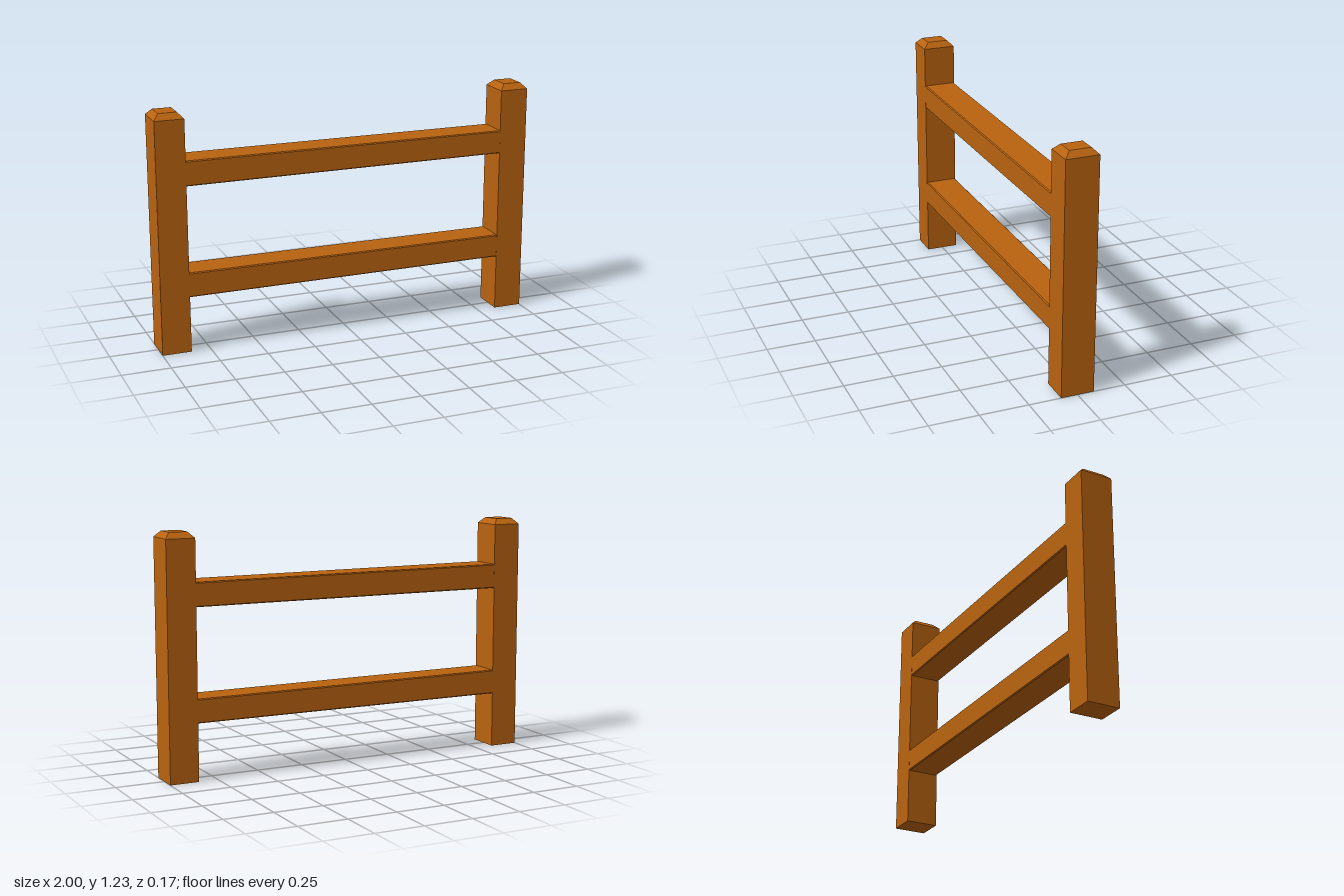
import * as THREE from 'three';

const wood = new THREE.MeshStandardMaterial({ color: 0xb9630f, flatShading: true });

// Square post whose top row of vertices is drawn in to form a chamfered cap
function makePost(x, name) {
  const geo = new THREE.BoxGeometry(0.15, 1.23, 0.17, 1, 2, 1).translate(0, 0.615, 0);
  const p = geo.attributes.position;
  for (let i = 0; i < p.count; i++) {
    const y = p.getY(i);
    if (y > 1) {
      p.setX(i, p.getX(i) - Math.sign(p.getX(i)) * 0.028);
      p.setZ(i, p.getZ(i) - Math.sign(p.getZ(i)) * 0.03);
    } else if (y > 0.5) p.setY(i, 1.2);
  }
  const post = new THREE.Mesh(geo, wood);
  post.name = name;
  post.position.x = x;
  return post;
}

// Rail with slightly eased edges, narrowing a touch towards +x
function makeRail(y, name) {
  const w = 0.0845, h = 0.064, c = 0.005, length = 1.72;
  const shape = new THREE.Shape([
    [-w + c, -h], [w - c, -h], [w, -h + c], [w, h - c],
    [w - c, h], [-w + c, h], [-w, h - c], [-w, -h + c],
  ].map(([a, b]) => new THREE.Vector2(a, b)));
  const geo = new THREE.ExtrudeGeometry(shape, { depth: length, bevelEnabled: false });
  geo.translate(0, 0, -length / 2).rotateY(Math.PI / 2);
  const p = geo.attributes.position;
  for (let i = 0; i < p.count; i++) {
    if (p.getX(i) > 0) p.setY(i, p.getY(i) * 0.95);
  }
  const rail = new THREE.Mesh(geo, wood);
  rail.name = name;
  rail.position.y = y;
  return rail;
}

export function createModel() {
  const fence = new THREE.Group();
  fence.name = 'fence';
  fence.add(
    makePost(0.925, 'leftPost'),
    makePost(-0.925, 'rightPost'),
    makeRail(0.926, 'upperRail'),
    makeRail(0.353, 'lowerRail'),
  );
  return fence;
}
